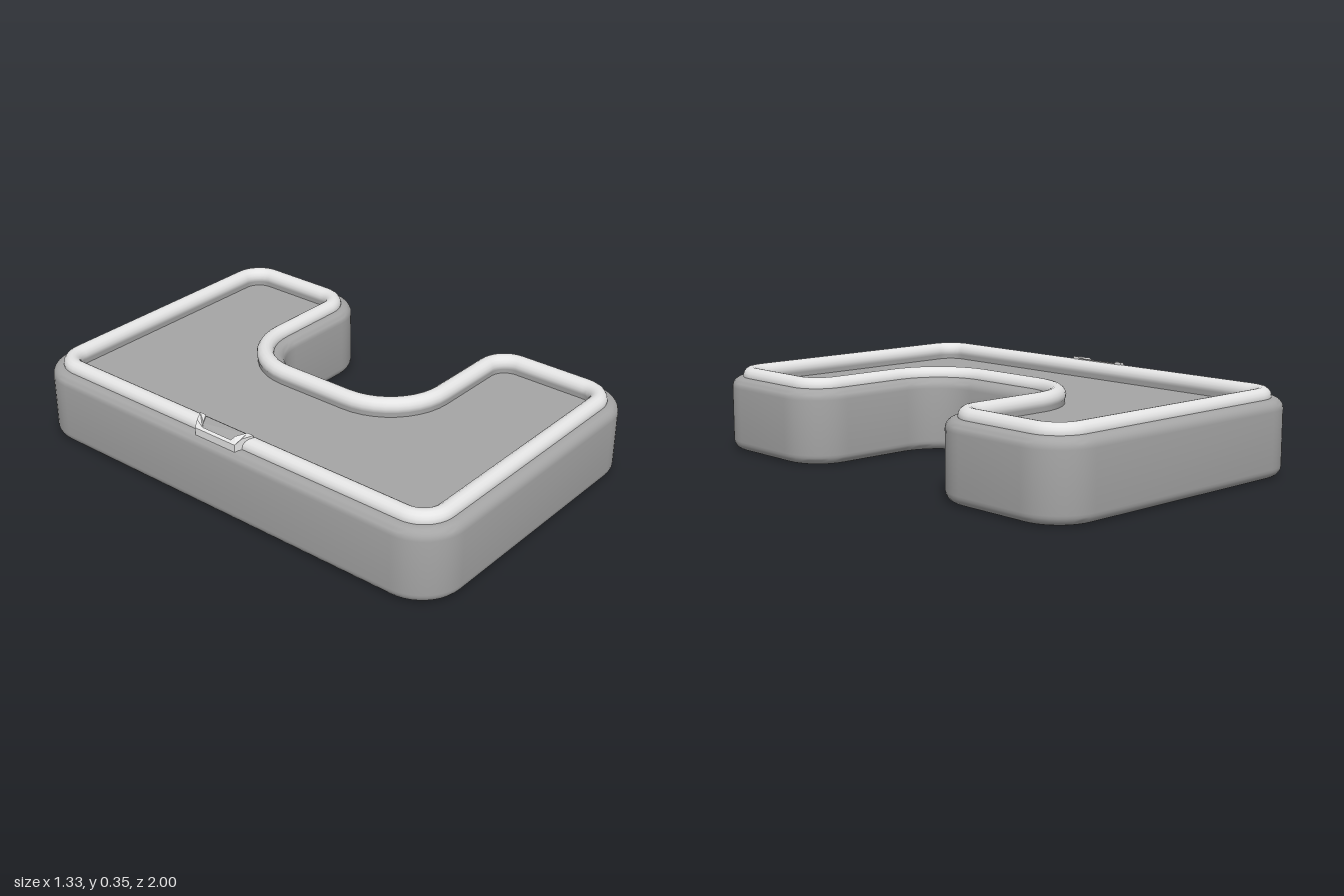
import * as THREE from 'three';
import { toCreasedNormals } from 'three/addons/utils/BufferGeometryUtils.js';

const R = 0.18, STEPS = 10;
// Corners of the C outline: arc centre x, y, start angle in quarter turns, turn direction
const CORNERS = [
  [-0.485, -0.82, 2, 1], [0.485, -0.82, 3, 1], [0.485, -0.515, 0, 1],
  [0.18, -0.155, 3, -1], [0.18, 0.155, 2, -1],
  [0.485, 0.515, 3, 1], [0.485, 0.82, 0, 1], [-0.485, 0.82, 1, 1],
];

// Outline moved inward by inset, counterclockwise seen from above
function outline(inset) {
  const pts = [];
  for (const [cx, cy, q, dir] of CORNERS) {
    const r = R - dir * inset;
    for (let i = 0; i <= STEPS; i++) {
      const a = (q + dir * i / STEPS) * Math.PI / 2;
      pts.push(new THREE.Vector2(cx + r * Math.cos(a), cy + r * Math.sin(a)));
    }
  }
  return pts;
}

// Sweep a profile of [inset, height] points around the outline
function sweep(profile) {
  const pos = [], index = [], n = CORNERS.length * (STEPS + 1);
  for (const [inset, y] of profile) for (const p of outline(inset)) pos.push(p.x, y, -p.y);
  for (let j = 0; j < profile.length - 1; j++) {
    for (let i = 0; i < n; i++) {
      const a = j * n + i, b = j * n + (i + 1) % n;
      index.push(a, b, b + n, a, b + n, a + n);
    }
  }
  const g = new THREE.BufferGeometry();
  g.setAttribute('position', new THREE.Float32BufferAttribute(pos, 3));
  g.setIndex(index);
  return toCreasedNormals(g, 0.7);
}

// Horizontal sheet filling the outline, facing up (1) or down (-1)
function sheet(inset, y, face) {
  return new THREE.ShapeGeometry(new THREE.Shape(outline(inset)))
    .rotateX(-face * Math.PI / 2).translate(0, y, 0);
}

// Plan shape extruded up from y0, its top rising steeply and then flattening toward the basin
function slopedPlate(points, y0, height) {
  const shape = new THREE.Shape(points.map(([x, z]) => new THREE.Vector2(x, z)));
  const g = new THREE.ExtrudeGeometry(shape, { depth: height, bevelEnabled: false });
  g.rotateX(-Math.PI / 2).translate(0, y0, 0);
  const p = g.attributes.position;
  for (let i = 0; i < p.count; i++) {
    const x = p.getX(i);
    const rise = Math.min((x + 0.645) * 0.8, 0.02 + (x + 0.62) * 0.125);
    if (p.getY(i) > y0 + height / 2) p.setY(i, p.getY(i) + rise);
  }
  g.computeVertexNormals();
  return g;
}

export function createModel() {
  const group = new THREE.Group();
  const bodyGrey = new THREE.MeshStandardMaterial({ name: 'body grey', color: 0xa5a5a5 });
  const rimGrey = new THREE.MeshStandardMaterial({ name: 'light rim grey', color: 0xe4e4e4 });
  const add = (name, geometry, material) => {
    const m = new THREE.Mesh(geometry, material);
    m.name = name;
    group.add(m);
    return m;
  };

  // Basin shell: half-round bottom lip, outer wall, rounded top edge, inner wall
  const B = 0.04, H = 0.3, FLOOR = 0.27, UNDER = 0.03;
  const profile = [[2 * B, B]];
  for (let i = 1; i <= 12; i++) {
    const a = i / 12 * Math.PI;
    profile.push([B + B * Math.cos(a), B - B * Math.sin(a)]);
  }
  for (let i = 0; i <= 6; i++) {
    const a = i / 6 * Math.PI / 2;
    profile.push([B - B * Math.cos(a), H - B + B * Math.sin(a)]);
  }
  profile.push([0.11, H], [0.11, FLOOR]);
  add('basinShell', sweep(profile), bodyGrey);
  add('basinFloor', sheet(0.11, FLOOR, 1), bodyGrey);
  add('underside', sheet(2 * B, UNDER, -1), bodyGrey);

  // Raised tubular rim
  const tube = [];
  for (let i = 0; i <= 16; i++) {
    const a = i / 16 * Math.PI * 2;
    tube.push([0.08 - 0.035 * Math.cos(a), 0.305 + 0.035 * Math.sin(a)]);
  }
  add('rim', sweep(tube), rimGrey);

  // Small spout on the long side: a U-shaped frame around a sloping panel
  const frame = [
    [-0.58, -0.135], [-0.58, -0.105], [-0.62, -0.081], [-0.635, -0.072],
    [-0.635, 0.072], [-0.62, 0.081], [-0.58, 0.105], [-0.58, 0.135],
    [-0.62, 0.113], [-0.645, 0.1], [-0.645, -0.1], [-0.62, -0.113],
  ];
  const panel = [
    [-0.58, -0.105], [-0.58, 0.105], [-0.62, 0.081],
    [-0.635, 0.072], [-0.635, -0.072], [-0.62, -0.081],
  ];
  add('spoutFrame', slopedPlate(frame, 0.285, 0.04), rimGrey).position.z = -0.01;
  add('spoutPanel', slopedPlate(panel, 0.285, 0.034), bodyGrey).position.z = -0.01;

  return group;
}
